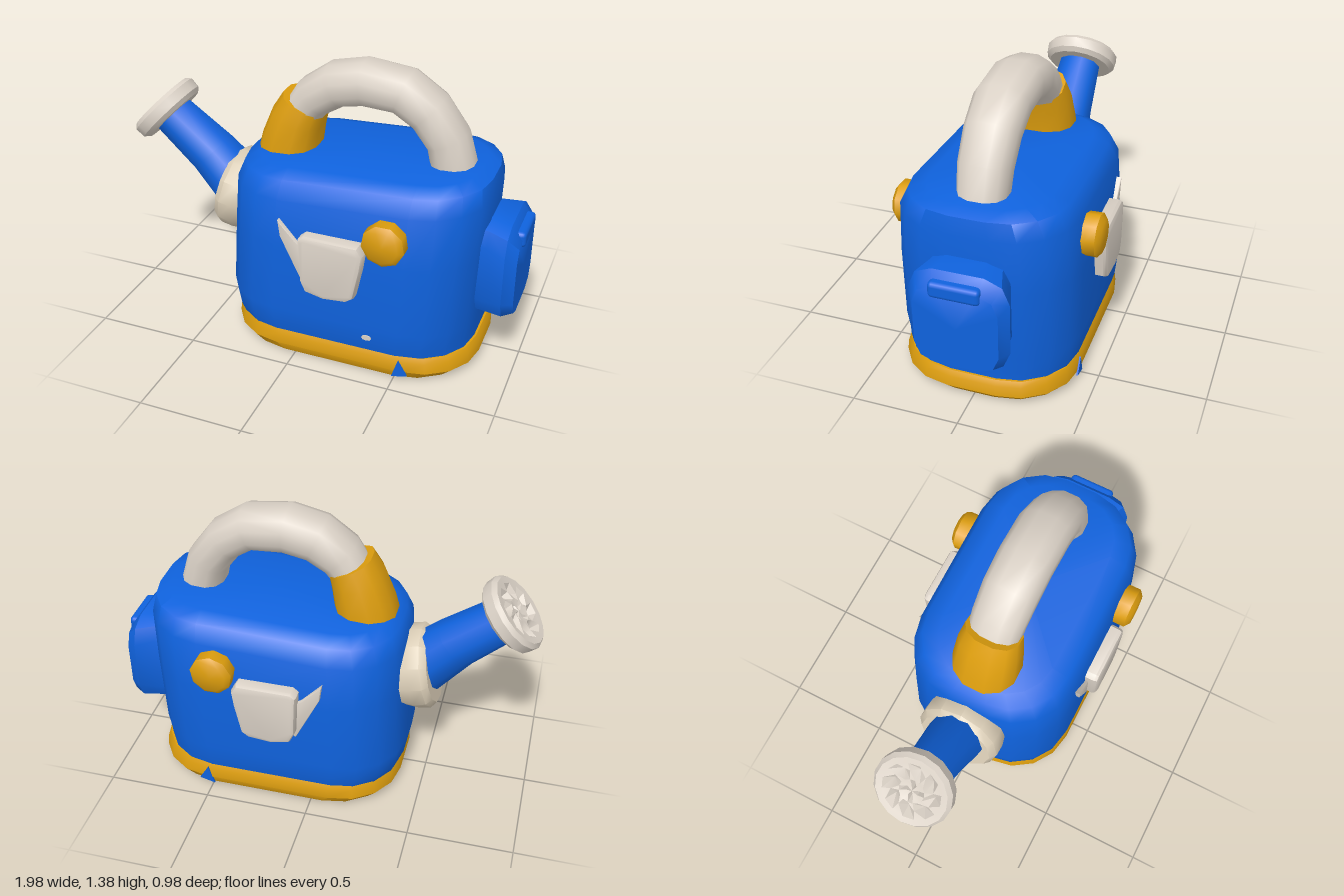
import * as THREE from 'three';
import { toCreasedNormals } from 'three/addons/utils/BufferGeometryUtils.js';
import { RoundedBoxGeometry } from 'three/addons/geometries/RoundedBoxGeometry.js';

const V = (x, y, z) => new THREE.Vector3(x, y, z);
const X = V(1, 0, 0), Y = V(0, 1, 0), Z = V(0, 0, 1), NZ = V(0, 0, -1);

const material = (name, color) => Object.assign(new THREE.MeshStandardMaterial({ color }), { name });

// Outline of a rounded rectangle, counter-clockwise
function roundRect(hu, hv, r, n = 4) {
  const pts = [];
  [[1, 1], [-1, 1], [-1, -1], [1, -1]].forEach(([su, sv], k) => {
    for (let i = 0; i <= n; i++) {
      const a = (k + i / n) * Math.PI / 2;
      pts.push([su * (hu - r) + r * Math.cos(a), sv * (hv - r) + r * Math.sin(a)]);
    }
  });
  return pts;
}

// Slightly squared oval outline
function oval(hu, hv, n = 12, power = 0.85) {
  const soft = (t) => Math.sign(t) * Math.abs(t) ** power;
  return Array.from({ length: n }, (_, i) => {
    const a = (i + 0.5) / n * Math.PI * 2;
    return [hu * soft(Math.cos(a)), hv * soft(Math.sin(a))];
  });
}

const ring = (centre, u, v, outline) =>
  outline.map(([a, b]) => centre.clone().addScaledVector(u, a).addScaledVector(v, b));

// Capped skin over a row of rings
function loft(rings, crease = 0.75) {
  const n = rings[0].length, last = (rings.length - 1) * n;
  const pts = rings.flat(), index = [];
  for (let i = 0; i < rings.length - 1; i++) {
    for (let j = 0; j < n; j++) {
      const a = i * n + j, b = i * n + (j + 1) % n;
      index.push(a, b, b + n, a, b + n, a + n);
    }
  }
  const mid = (r) => r.reduce((s, p) => s.add(p), V(0, 0, 0)).divideScalar(n);
  const c0 = pts.length;
  pts.push(mid(rings[0]), mid(rings[rings.length - 1]));
  for (let j = 0; j < n; j++) {
    const k = (j + 1) % n;
    index.push(c0, k, j, c0 + 1, last + j, last + k);
  }
  const g = new THREE.BufferGeometry().setFromPoints(pts);
  g.setIndex(index);
  return toCreasedNormals(g, crease);
}

// Horizontal ring between x0 and x1
const level = (y, x0, x1, hz, r) =>
  ring(V((x0 + x1) / 2, y, 0), X, NZ, roundRect((x1 - x0) / 2, hz, r));

// Bent bar in the xy plane; each station is [x, y, half thickness, half depth]
function bar(stations) {
  const path = new THREE.CatmullRomCurve3(stations.map(([x, y]) => V(x, y, 0)));
  return loft(stations.map(([x, y, t, d], i) => {
    const dir = path.getTangent(i / (stations.length - 1));
    return ring(V(x, y, 0), Z.clone().cross(dir).normalize(), Z, oval(t, d));
  }));
}

// Flat outline given thickness from z0 to z1
function slab(points, z0, z1, bevel = 0) {
  const shape = new THREE.Shape(points.map(([x, y]) => new THREE.Vector2(x, y)));
  const g = new THREE.ExtrudeGeometry(shape, {
    depth: z1 - z0 - 2 * bevel, bevelEnabled: bevel > 0, bevelThickness: bevel,
    bevelSize: bevel, bevelOffset: -bevel, bevelSegments: 2,
  });
  g.translate(0, 0, z0 + bevel);
  return toCreasedNormals(g, 0.7);
}

const turned = (profile, sides) =>
  new THREE.LatheGeometry(profile.map(([r, y]) => new THREE.Vector2(r, y)), sides);

export function createModel() {
  const model = new THREE.Group();
  model.name = 'wateringCan';
  const blue = material('blue', 0x0f62dd);
  const amber = material('amber', 0xdc9d0e);
  const cream = material('cream', 0xdad1c6);
  const beige = material('beige', 0xdacdb6);
  const add = (name, geometry, mat) => {
    const m = new THREE.Mesh(geometry, mat);
    m.name = name;
    model.add(m);
    return m;
  };

  // Tank, its top rising gently towards +x
  const tank = [
    level(0.10, -0.375, 0.80, 0.395, 0.29), level(0.16, -0.40, 0.80, 0.41, 0.30),
    level(0.25, -0.41, 0.81, 0.418, 0.30), level(0.60, -0.39, 0.825, 0.415, 0.30),
    level(0.84, -0.38, 0.835, 0.40, 0.30), level(0.92, -0.35, 0.82, 0.36, 0.28),
    level(0.948, -0.29, 0.76, 0.28, 0.22),
  ];
  tank.slice(4).flat().forEach((p) => { p.y += 0.045 * (p.x - 0.25); });
  add('tank', loft(tank, 0.9), blue);

  // Base
  add('base', loft([
    level(0.005, -0.355, 0.79, 0.395, 0.30), level(0.05, -0.39, 0.83, 0.415, 0.30),
    level(0.10, -0.385, 0.825, 0.41, 0.30), level(0.125, -0.375, 0.81, 0.40, 0.29),
  ], 0.6), amber);

  // Handle and its front sleeve
  add('handle', bar([
    [-0.12, 1.08, 0.09, 0.12], [-0.05, 1.18, 0.1, 0.125], [0.06, 1.255, 0.105, 0.13],
    [0.2, 1.285, 0.107, 0.13], [0.38, 1.268, 0.102, 0.13], [0.5, 1.19, 0.1, 0.125],
    [0.59, 1.07, 0.1, 0.12], [0.635, 0.9, 0.105, 0.11],
  ]), cream);
  add('handleSleeve', bar([
    [-0.18, 0.86, 0.15, 0.165], [-0.165, 0.95, 0.14, 0.16],
    [-0.13, 1.07, 0.125, 0.15], [-0.095, 1.15, 0.11, 0.132],
  ]), amber);

  // Spout, collar and sprinkler rose
  const spoutDir = V(-0.7, 0.71, 0).normalize();
  const spoutSide = Z.clone().cross(spoutDir);
  const spout = [[-0.40, 0.59, 0.15], [-0.6, 0.79, 0.125], [-0.81, 0.96, 0.108]];
  add('spout', loft(spout.map(([x, y, r]) =>
    ring(V(x, y, 0), spoutSide, Z, oval(r, r, 10, 1)))), blue);

  const collar = add('collar', toCreasedNormals(turned([
    [0, -0.09], [0.19, -0.09], [0.205, -0.03], [0.205, 0.03], [0.18, 0.06], [0, 0.06],
  ], 12), 0.7), beige);
  collar.position.set(-0.45, 0.625, 0);
  collar.quaternion.setFromUnitVectors(Y, V(-0.975, 0.22, 0).normalize());

  const profile = [[0, -0.045], [0.16, -0.045], [0.183, -0.025], [0.187, 0.025],
    [0.17, 0.045], [0.14, 0.042], [0.1, 0.035], [0.06, 0.04], [0.03, 0.03], [0, 0.035]];
  const roseGeo = turned(profile, 16);
  // Sprinkler dimples
  const pos = roseGeo.attributes.position;
  for (let i = 0; i < pos.count; i++) {
    const seg = Math.floor(i / profile.length), row = i % profile.length;
    if ((row === 6 && seg % 2 === 0) || (row === 8 && seg % 4 === 0)) pos.setY(i, 0.0);
  }
  const rose = add('sprinklerRose', toCreasedNormals(roseGeo, 0.6), cream);
  rose.position.set(-0.84, 0.985, 0);
  rose.quaternion.setFromUnitVectors(Y, V(-0.73, 0.68, 0).normalize());

  // Rear lug with a small lip
  const lugRing = (x, y, hy, hz, r) => ring(V(x, y, 0), Y, Z, roundRect(hy, hz, r, 2));
  add('rearLug', loft([
    lugRing(0.76, 0.52, 0.24, 0.18, 0.1), lugRing(0.84, 0.52, 0.24, 0.19, 0.1),
    lugRing(0.93, 0.52, 0.232, 0.225, 0.11), lugRing(0.98, 0.50, 0.195, 0.19, 0.09),
  ]), blue);
  const lip = add('rearLugLip', new RoundedBoxGeometry(0.08, 0.075, 0.23, 2, 0.02), blue);
  lip.position.set(0.955, 0.685, 0);

  // Can relief, knob and base notch on both sides
  const pot = [[0.045, 0.68], [0.07, 0.70], [0.33, 0.70], [0.355, 0.66], [0.345, 0.58],
    [0.315, 0.43], [0.28, 0.405], [0.17, 0.395], [0.08, 0.415], [0.055, 0.47]];
  const potSpout = [[-0.065, 0.74], [-0.055, 0.66], [0.06, 0.42], [0.10, 0.45], [0.09, 0.6], [0.03, 0.64]];
  const notch = [[0.49, 0.015], [0.565, 0.035], [0.52, 0.11]];
  for (const [side, s] of [['Front', 1], ['Back', -1]]) {
    const both = (points, a, b, bevel) => slab(points, s > 0 ? a : -b, s > 0 ? b : -a, bevel);
    add('reliefPot' + side, both(pot, 0.36, 0.475, 0.02), cream);
    add('reliefSpout' + side, both(potSpout, 0.36, 0.43, 0.005), cream);
    add('baseNotch' + side, both(notch, 0.409, 0.417), blue);
    const knob = add('knob' + side, toCreasedNormals(turned([
      [0, -0.04], [0.095, -0.04], [0.1, 0.02], [0.1, 0.065], [0.075, 0.085], [0, 0.09],
    ], 9), 0.8), amber);
    knob.position.set(0.445, 0.735, s * 0.4);
    knob.rotation.x = s * Math.PI / 2;
  }

  // Small fleck on the front wall
  const fleck = add('fleck', new THREE.CylinderGeometry(0.02, 0.02, 0.008, 8), cream);
  fleck.scale.set(1.2, 1, 0.7);
  fleck.rotation.x = Math.PI / 2;
  fleck.position.set(0.365, 0.2, 0.416);

  return model;
}
